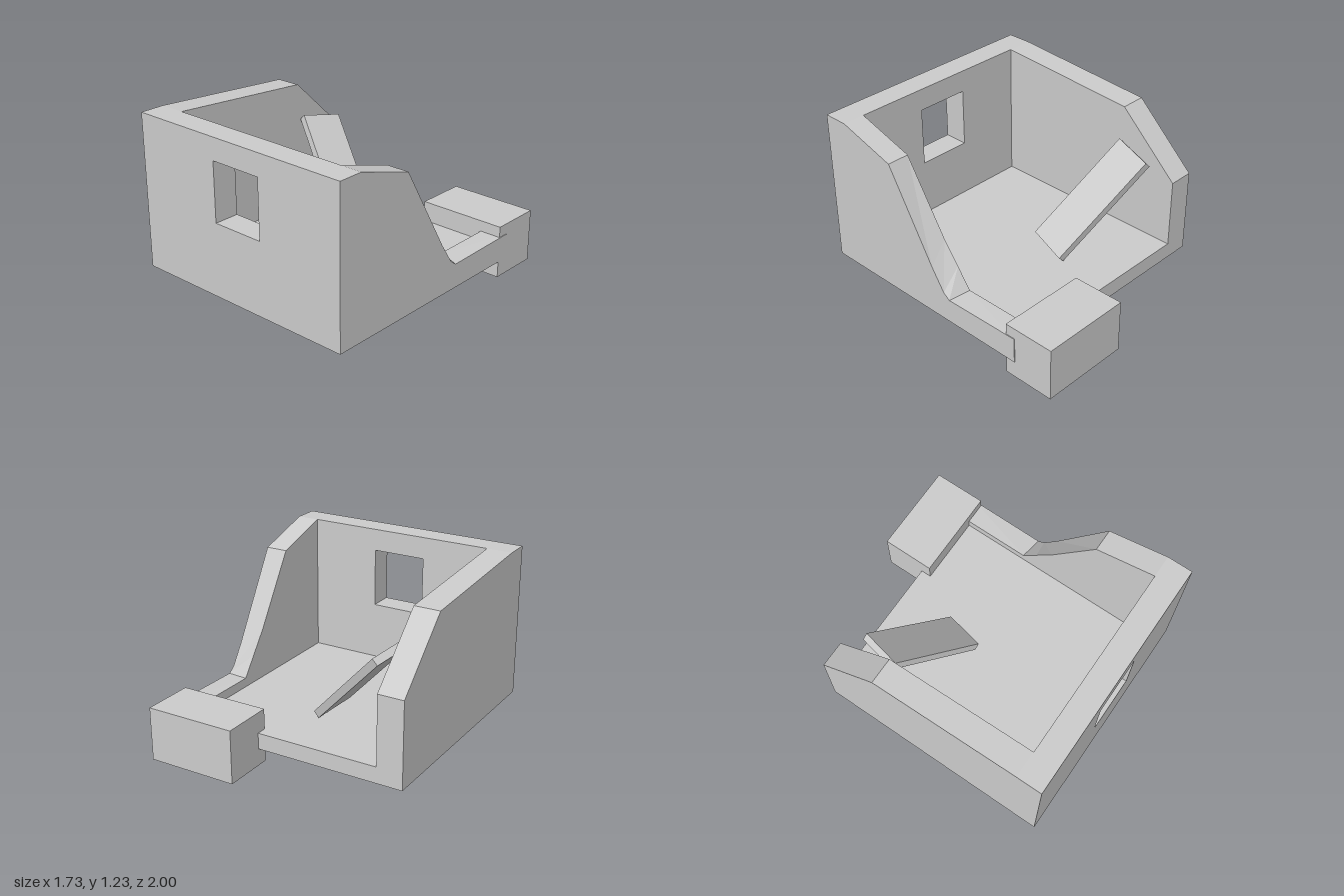
import * as THREE from 'three';

const material = new THREE.MeshStandardMaterial({ color: 0xcccccc, flatShading: true });

export function createModel() {
  const model = new THREE.Group();

  const add = (name, geometry) => {
    const mesh = new THREE.Mesh(geometry, material);
    mesh.name = name;
    model.add(mesh);
    return mesh;
  };

  // Box given by its lower and upper corners
  const block = (name, [x0, y0, z0], [x1, y1, z1]) =>
    add(name, new THREE.BoxGeometry(x1 - x0, y1 - y0, z1 - z0)
      .translate((x0 + x1) / 2, (y0 + y1) / 2, (z0 + z1) / 2));

  // Side wall between x0 and x1, with a [z, y] profile; at x = innerX the
  // profile can be swapped for another one with the same number of points
  const sideWall = (name, x0, x1, outer, inner = outer, innerX = x0) => {
    const shape = new THREE.Shape(outer.map(([z, y]) => new THREE.Vector2(-z, y)));
    const geometry = new THREE.ExtrudeGeometry(shape, { depth: x1 - x0, bevelEnabled: false });
    geometry.rotateY(Math.PI / 2).translate(x0, 0, 0);
    const pos = geometry.attributes.position;
    for (let i = 0; i < pos.count; i++) {
      if (Math.abs(pos.getX(i) - innerX) > 1e-4) continue;
      const k = outer.findIndex(([z, y]) =>
        Math.abs(z - pos.getZ(i)) < 1e-4 && Math.abs(y - pos.getY(i)) < 1e-4);
      pos.setXYZ(i, innerX, inner[k][1], inner[k][0]);
    }
    geometry.computeVertexNormals();
    return add(name, geometry);
  };

  // Floor slab
  block('floor', [-0.68, 0.12, -0.7], [0.7, 0.235, 0.82]);

  // Front wall with a window opening
  const rect = (Type, x0, y0, x1, y1) => new Type([
    new THREE.Vector2(x0, y0), new THREE.Vector2(x1, y0),
    new THREE.Vector2(x1, y1), new THREE.Vector2(x0, y1),
  ]);
  const front = rect(THREE.Shape, -0.865, 0.12, 0.86, 1.228);
  front.holes.push(rect(THREE.Path, -0.19, 0.648, 0.2, 1.07));
  add('frontWall', new THREE.ExtrudeGeometry(front, { depth: 0.18, bevelEnabled: false })
    .translate(0, 0, 0.82));

  // Tall right wall
  sideWall('rightWall', -0.865, -0.68, [
    [0.82, 0.12], [0.82, 1.228], [-0.255, 1.152], [-0.7, 0.73], [-0.7, 0.12],
  ]);

  // Broken left wall, its slope slightly twisted from outside to inside
  sideWall('leftWall', 0.7, 0.86, [
    [0.82, 0.12], [0.82, 1.228], [0.395, 1.1], [0.03, 0.48],
    [-0.07, 0.33], [-0.12, 0.293], [-0.7, 0.303], [-0.7, 0.12],
  ], [
    [0.82, 0.12], [0.82, 1.228], [0.395, 1.1], [0.08, 0.6],
    [-0.04, 0.44], [-0.145, 0.3], [-0.7, 0.303], [-0.7, 0.12],
  ]);

  // Stone block at the back corner
  block('cornerBlock', [0.205, 0, -1], [0.855, 0.38, -0.625]);

  // Fallen slab leaning against the right wall
  const corner = new THREE.Vector3(-0.63, 0.93, -0.265);
  const along = new THREE.Vector3(0.58, -0.6, 0.245);
  const across = new THREE.Vector3(0.07, -0.05, -0.29);
  const normal = along.clone().cross(across).normalize();
  const thickness = 0.055;
  const slab = add('leaningSlab',
    new THREE.BoxGeometry(along.length(), across.length(), thickness));
  slab.position.copy(corner).addScaledVector(along, 0.5).addScaledVector(across, 0.5)
    .addScaledVector(normal, -thickness / 2);
  slab.quaternion.setFromRotationMatrix(new THREE.Matrix4().makeBasis(
    along.clone().normalize(), across.clone().normalize(), normal));

  return model;
}
